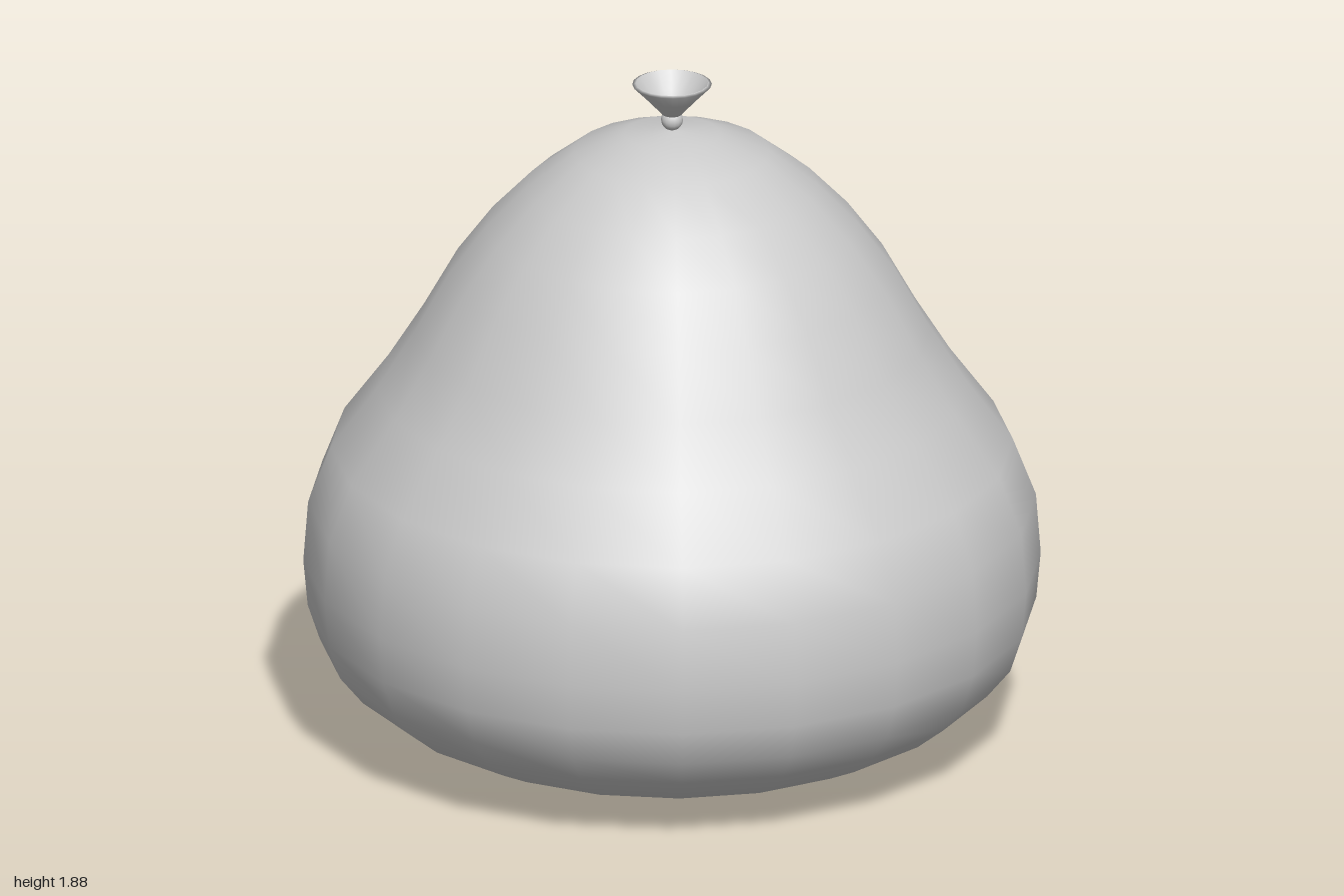
import * as THREE from 'three';

const SIDES = 20;

export function createModel() {
  const model = new THREE.Group();
  const material = new THREE.MeshStandardMaterial({ color: 0xcccccc });
  const thinMaterial = new THREE.MeshStandardMaterial({ color: 0xcccccc, side: THREE.DoubleSide });

  const add = (name, geometry, mat = material, y = 0) => {
    const mesh = new THREE.Mesh(geometry, mat);
    mesh.name = name;
    mesh.position.y = y;
    model.add(mesh);
  };
  const lathe = (points, sides) =>
    new THREE.LatheGeometry(points.map(([r, y]) => new THREE.Vector2(r, y)), sides);

  // Sagging sack body: [radius, height] from the flat bottom to the top
  add('body', lathe([
    [0, 0], [0.15, 0.002], [0.3, 0.005], [0.45, 0.013], [0.6, 0.037], [0.7, 0.07],
    [0.805, 0.122], [0.89, 0.19], [0.955, 0.27], [0.988, 0.37], [1, 0.5],
    [0.987, 0.67], [0.925, 0.83], [0.8, 1.0], [0.7, 1.16], [0.605, 1.33],
    [0.505, 1.465], [0.395, 1.58], [0.265, 1.68], [0.13, 1.733], [0, 1.747],
  ], SIDES));

  // Tied knot on top of the body
  add('knot', new THREE.SphereGeometry(0.03, 16, 10), material, 1.773);

  // Open flared end above the knot
  add('flaredNeck', lathe([
    [0, 1.783], [0.026, 1.789], [0.067, 1.834], [0.108, 1.876], [0.098, 1.88],
  ], SIDES), thinMaterial);

  return model;
}
